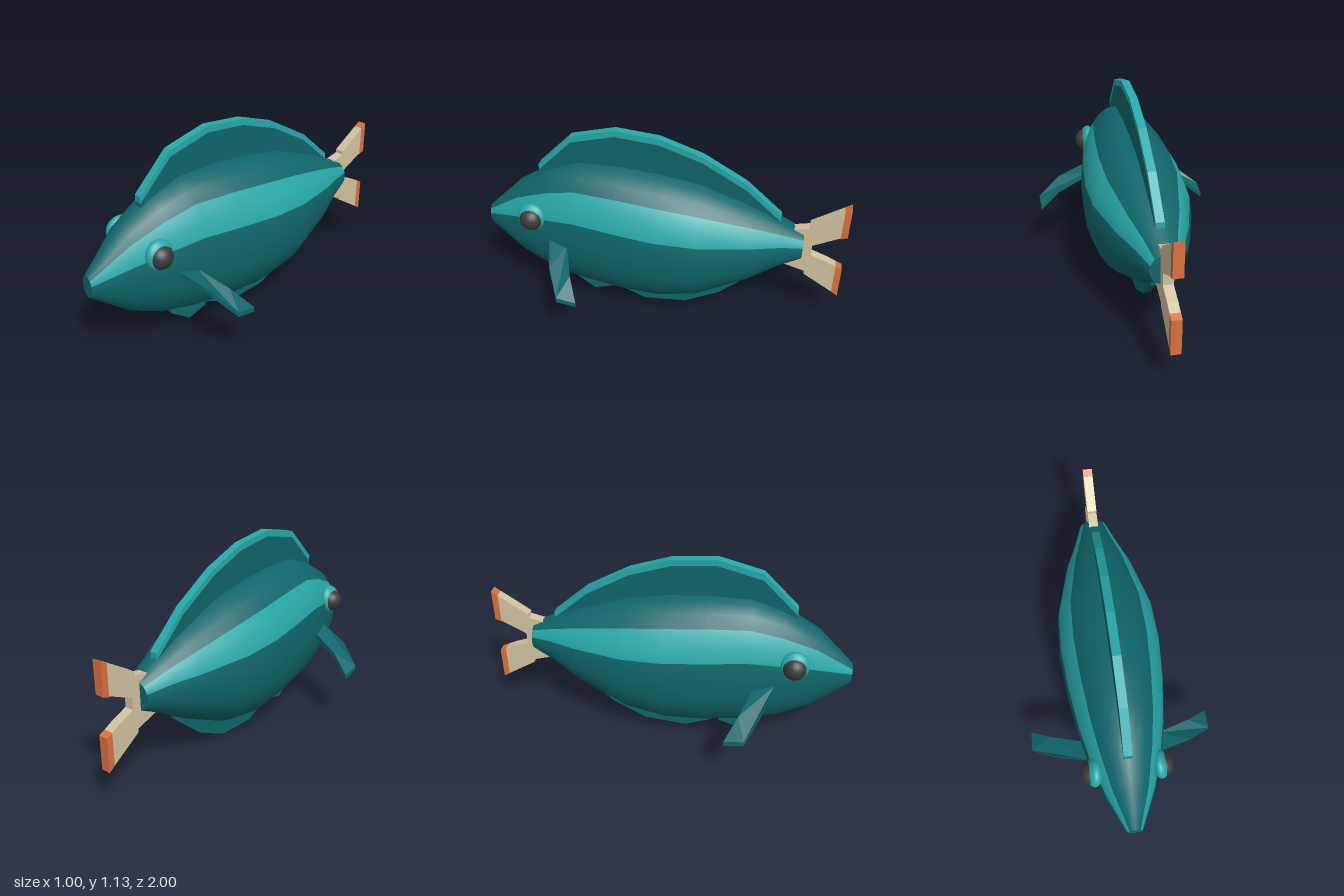
import * as THREE from 'three';

const mat = (name, color, side = THREE.FrontSide) => {
  const m = new THREE.MeshStandardMaterial({ color, side });
  m.name = name;
  return m;
};

export function createModel() {
  const fish = new THREE.Group();
  fish.name = 'fish';
  const teal = mat('deep teal', 0x10666a);
  const light = mat('light teal', 0x28a8a8);
  const tan = mat('tan', 0xd2c2a0);
  const orange = mat('orange', 0xd9713f);
  const dark = mat('eye black', 0x3a3a3a);

  const add = (name, geo, material) => {
    const mesh = new THREE.Mesh(geo, material);
    mesh.name = name;
    fish.add(mesh);
    return mesh;
  };

  // Upright plate cut from a side profile of [z, y] points
  const plate = (name, pts, thick, material) => {
    const shape = new THREE.Shape(pts.map(p => new THREE.Vector2(...p)));
    const geo = new THREE.ExtrudeGeometry(shape, { depth: thick, bevelEnabled: false });
    geo.translate(0, 0, -thick / 2).rotateY(-Math.PI / 2);
    return add(name, geo, material);
  };

  // Body rings: z, top, bottom, half width
  const rings = [
    [1, 0.56, 0.44, 0.042], [0.8, 0.755, 0.275, 0.137], [0.62, 0.86, 0.185, 0.195],
    [0.45, 0.92, 0.143, 0.235], [0.22, 0.92, 0.112, 0.268], [0, 0.9, 0.105, 0.284],
    [-0.22, 0.86, 0.15, 0.272], [-0.5, 0.755, 0.29, 0.19], [-0.65, 0.68, 0.39, 0.125],
    [-0.775, 0.617, 0.455, 0.078],
  ];
  const quarter = [0, 18, 32, 47, 61, 75];
  const angles = [
    ...quarter, 90, ...quarter.slice(1).reverse().map(a => 180 - a),
    ...quarter.map(a => 180 + a), 270, ...quarter.slice(1).reverse().map(a => 360 - a),
  ];
  const n = angles.length;
  const pos = [];
  const ringPoint = ([z, top, bottom, w], deg) => {
    const a = THREE.MathUtils.degToRad(deg);
    return [w * Math.cos(a), (top + bottom) / 2 + (top - bottom) / 2 * Math.sin(a), z];
  };
  for (const r of rings) for (const a of angles) pos.push(...ringPoint(r, a));
  const skin = [], band = [];
  for (let i = 0; i < rings.length - 1; i++) {
    for (let j = 0; j < n; j++) {
      const k = (j + 1) % n;
      const a = i * n + j, b = i * n + k, c = a + n, d = b + n;
      const mid = (angles[j] + (k ? angles[k] : 360)) / 2;
      const inBand = (mid > 18 && mid < 47) || (mid > 133 && mid < 162);
      (inBand ? band : skin).push(a, c, b, b, c, d);
    }
  }
  const body = new THREE.BufferGeometry();
  body.setAttribute('position', new THREE.Float32BufferAttribute(pos, 3));
  body.setIndex([...skin, ...band]);
  body.addGroup(0, skin.length, 0);
  body.addGroup(skin.length, band.length, 1);
  body.computeVertexNormals();
  add('body', body, [teal, light]);

  // Flat ends of the body
  const cap = (name, [z, top, bottom, w], facing) => {
    const geo = new THREE.CircleGeometry(1, 24);
    geo.scale(w, (top - bottom) / 2, 1);
    if (facing < 0) geo.rotateY(Math.PI);
    geo.translate(0, (top + bottom) / 2, z);
    add(name, geo, teal);
  };
  cap('mouth', rings[0], 1);
  cap('bodyEnd', rings[rings.length - 1], -1);

  // Dorsal fin with a lighter rim
  const crest = [
    [0.68, 0.88], [0.49, 1.07], [0.25, 1.13], [0.015, 1.107],
    [-0.215, 1.027], [-0.45, 0.89], [-0.645, 0.715],
  ];
  const inner = crest.map(([z, y]) => [z, y - 0.035]);
  plate('dorsalFin', [[0.68, 0.8], ...inner, [-0.645, 0.62], [0.3, 0.7]], 0.044, teal);
  plate('dorsalRim', [...crest, ...inner.slice().reverse()], 0.044, light);

  // Belly fins
  plate('pelvicFin', [[0.53, 0.25], [0.53, 0.12], [0.41, 0.03], [0.295, 0.065], [0.295, 0.25]], 0.03, teal);
  plate('analFin', [
    [0.295, 0.2], [0.295, 0.085], [0.1, 0.002], [-0.14, 0.02],
    [-0.335, 0.12], [-0.525, 0.29], [-0.525, 0.36], [-0.2, 0.25],
  ], 0.03, teal);

  // Tail fin and its coloured tips
  plate('tailFin', [
    [-0.665, 0.63], [-0.8, 0.66], [-0.8, 0.68], [-0.965, 0.787], [-0.965, 0.62],
    [-0.825, 0.55], [-0.825, 0.485], [-0.915, 0.45], [-0.965, 0.425], [-0.965, 0.245],
    [-0.8, 0.35], [-0.8, 0.37], [-0.665, 0.41],
  ], 0.052, tan);
  plate('upperTailTip', [[-0.965, 0.787], [-1, 0.81], [-1, 0.627], [-0.965, 0.615]], 0.052, orange);
  plate('lowerTailTip', [[-0.965, 0.425], [-1, 0.41], [-1, 0.22], [-0.965, 0.245]], 0.052, orange);

  for (const s of [1, -1]) {
    const side = s > 0 ? 'left' : 'right';

    // Pectoral fin: flat plan outline, then drooped outward and backward
    const plan = [
      [0.2, 0.595], [0.37, 0.545], [0.498, 0.475],
      [0.495, 0.37], [0.38, 0.43], [0.2, 0.495],
    ];
    const shape = new THREE.Shape(plan.map(([x, z]) => new THREE.Vector2(s * x, z)));
    const fin = new THREE.ExtrudeGeometry(shape, { depth: 0.027, bevelEnabled: false });
    fin.rotateX(Math.PI / 2);
    const p = fin.attributes.position;
    for (let i = 0; i < p.count; i++) {
      const x = Math.abs(p.getX(i)), z = p.getZ(i);
      const droop = 0.505 - 0.33 * (x - 0.2) - 0.35 * Math.max(0, x - 0.37);
      const front = 0.595 - 0.4 * (x - 0.2);
      p.setY(i, p.getY(i) + droop + 0.2 * (z - front));
    }
    fin.computeVertexNormals();
    add(side + 'PectoralFin', fin, teal);

    // Eye in its socket
    const socket = add(side + 'EyeSocket', new THREE.SphereGeometry(1, 20, 14), light);
    socket.scale.set(0.042, 0.08, 0.077);
    socket.position.set(s * 0.172, 0.632, 0.692);
    socket.rotation.z = s * 0.17;
    const eye = add(side + 'Eye', new THREE.SphereGeometry(0.064, 20, 14), dark);
    eye.position.set(s * 0.179, 0.625, 0.692);
  }
  return fish;
}
